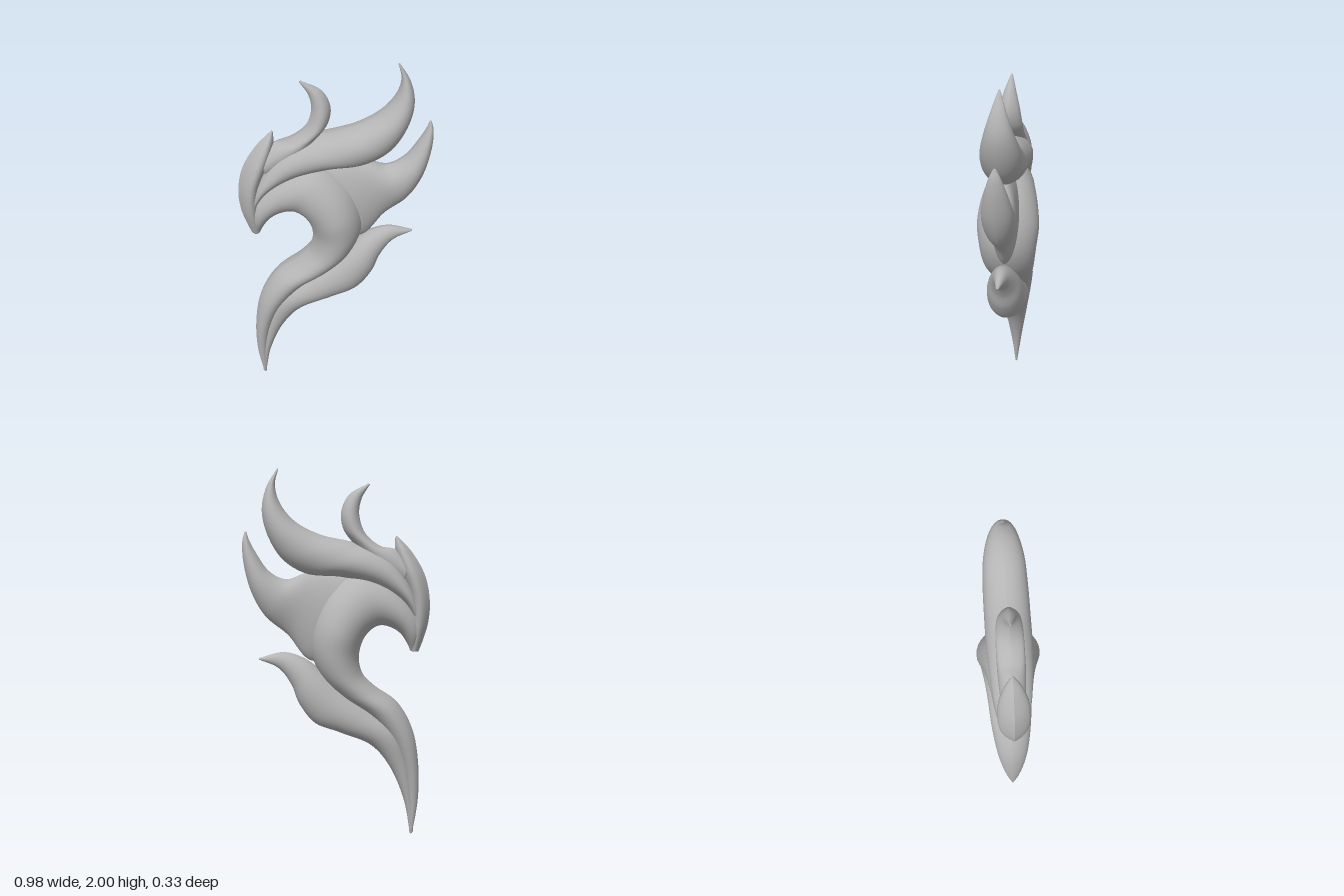
import * as THREE from 'three';

const stone = new THREE.MeshStandardMaterial({ color: 0xb4b4b4 });
stone.name = 'stone grey';

// Curved blade between a left and a right edge (seen along its run).
// rows: [leftX, leftY, rightX, rightY, halfDepth]; power shapes the bulge (1 round, 2 sharp-edged);
// lean below 1 moves the ridge towards the right edge.
function blade(name, rows, power, lean = 1, steps = 80, across = 18) {
  const left = new THREE.CatmullRomCurve3(rows.map(r => new THREE.Vector3(r[0], r[1], r[4])));
  const right = new THREE.CatmullRomCurve3(rows.map(r => new THREE.Vector3(r[2], r[3], r[4])));
  const pos = [], index = [];
  for (const side of [1, -1]) {
    const base = pos.length / 3;
    // first and last rings are collapsed to a point to close the ends
    for (let i = -1; i <= steps + 1; i++) {
      const t = THREE.MathUtils.clamp(i / steps, 0, 1);
      const a = left.getPoint(t), b = right.getPoint(t);
      const k = i < 0 || i > steps ? 0 : 1;
      for (let j = 0; j <= across; j++) {
        const th = Math.PI * j / across;
        const u = k ? Math.pow(0.5 - 0.5 * Math.cos(th), lean) : 0.5;
        const z = j === 0 || j === across ? 0 : Math.max(a.z, 0) * Math.pow(Math.sin(th), power);
        pos.push(a.x + (b.x - a.x) * u, a.y + (b.y - a.y) * u, z * side * k);
      }
    }
    const n = across + 1;
    for (let i = 0; i < steps + 2; i++) for (let j = 0; j < across; j++) {
      const p = base + i * n + j, q = p + 1, r = p + n, s = r + 1;
      if (side > 0) index.push(p, q, r, q, s, r);
      else index.push(p, r, q, q, r, s);
    }
  }
  const g = new THREE.BufferGeometry();
  g.setAttribute('position', new THREE.Float32BufferAttribute(pos, 3));
  g.setIndex(index);
  g.computeVertexNormals();
  const mesh = new THREE.Mesh(g, stone);
  mesh.name = name;
  return mesh;
}

export function createModel() {
  const model = new THREE.Group();
  model.name = 'flameOrnament';

  // S-shaped stem that curls over at the top
  model.add(blade('curledStem', [
    [-0.42, 0.0, -0.405, 0.0, 0.005],
    [-0.448, 0.2, -0.39, 0.2, 0.032],
    [-0.446, 0.41, -0.36, 0.38, 0.062],
    [-0.41, 0.61, -0.29, 0.55, 0.09],
    [-0.325, 0.765, -0.17, 0.7, 0.11],
    [-0.2, 0.86, -0.02, 0.81, 0.123],
    [-0.135, 0.93, 0.09, 0.93, 0.138],
    [-0.115, 1.02, 0.145, 1.08, 0.152],
    [-0.135, 1.11, 0.128, 1.23, 0.163],
    [-0.175, 1.165, 0.05, 1.37, 0.148],
    [-0.225, 1.19, -0.09, 1.46, 0.122],
    [-0.28, 1.18, -0.23, 1.43, 0.103],
    [-0.335, 1.145, -0.35, 1.34, 0.086],
    [-0.375, 1.085, -0.43, 1.22, 0.06],
    [-0.39, 1.05, -0.435, 1.08, 0.02],
  ], 1.2, 1, 110));

  // long leaf running along the lower right of the stem
  model.add(blade('lowerLeaf', [
    [-0.425, 0.01, -0.408, 0.0, 0.004],
    [-0.415, 0.22, -0.37, 0.2, 0.03],
    [-0.385, 0.44, -0.285, 0.405, 0.06],
    [-0.33, 0.62, -0.18, 0.53, 0.087],
    [-0.17, 0.75, 0.0, 0.61, 0.102],
    [-0.01, 0.87, 0.12, 0.66, 0.103],
    [0.09, 0.955, 0.205, 0.77, 0.092],
    [0.18, 1.02, 0.245, 0.875, 0.066],
    [0.285, 1.052, 0.31, 0.965, 0.036],
    [0.413, 1.023, 0.415, 1.015, 0.006],
  ], 1.05));

  // broad flame behind the stem, sunk where it meets the stem
  model.add(blade('sideFlame', [
    [-0.14, 1.42, 0.02, 1.0, 0.07],
    [0.0, 1.465, 0.15, 1.01, 0.07],
    [0.15, 1.475, 0.26, 1.145, 0.07],
    [0.265, 1.44, 0.375, 1.245, 0.08],
    [0.35, 1.48, 0.445, 1.37, 0.078],
    [0.42, 1.58, 0.483, 1.52, 0.054],
    [0.455, 1.65, 0.488, 1.63, 0.028],
    [0.465, 1.686, 0.475, 1.686, 0.006],
  ], 1.15));

  // large crest sweeping over the top
  model.add(blade('crest', [
    [-0.44, 1.22, -0.42, 1.2, 0.05],
    [-0.39, 1.38, -0.34, 1.32, 0.085],
    [-0.29, 1.53, -0.2, 1.405, 0.103],
    [-0.2, 1.59, -0.02, 1.45, 0.111],
    [-0.08, 1.63, 0.16, 1.468, 0.111],
    [0.09, 1.67, 0.28, 1.54, 0.108],
    [0.22, 1.74, 0.355, 1.66, 0.096],
    [0.295, 1.835, 0.385, 1.79, 0.067],
    [0.316, 1.925, 0.362, 1.905, 0.034],
    [0.298, 2.0, 0.306, 2.0, 0.004],
  ], 1.05));

  // small horn rising from the crest
  model.add(blade('horn', [
    [-0.37, 1.54, -0.34, 1.4, 0.06],
    [-0.3, 1.592, -0.19, 1.5, 0.067],
    [-0.225, 1.608, -0.085, 1.62, 0.067],
    [-0.145, 1.675, -0.03, 1.7, 0.064],
    [-0.113, 1.77, -0.02, 1.785, 0.052],
    [-0.125, 1.85, -0.06, 1.87, 0.03],
    [-0.168, 1.922, -0.158, 1.926, 0.004],
  ], 1.4));

  // hooked beak plate on the left, ridged towards its inner edge
  model.add(blade('beak', [
    [-0.435, 1.045, -0.39, 1.05, 0.022],
    [-0.462, 1.12, -0.385, 1.12, 0.045],
    [-0.483, 1.2, -0.385, 1.22, 0.065],
    [-0.49, 1.31, -0.37, 1.36, 0.079],
    [-0.462, 1.45, -0.325, 1.49, 0.077],
    [-0.39, 1.575, -0.3, 1.595, 0.045],
    [-0.31, 1.66, -0.301, 1.655, 0.005],
  ], 1.7, 0.8));

  return model;
}
